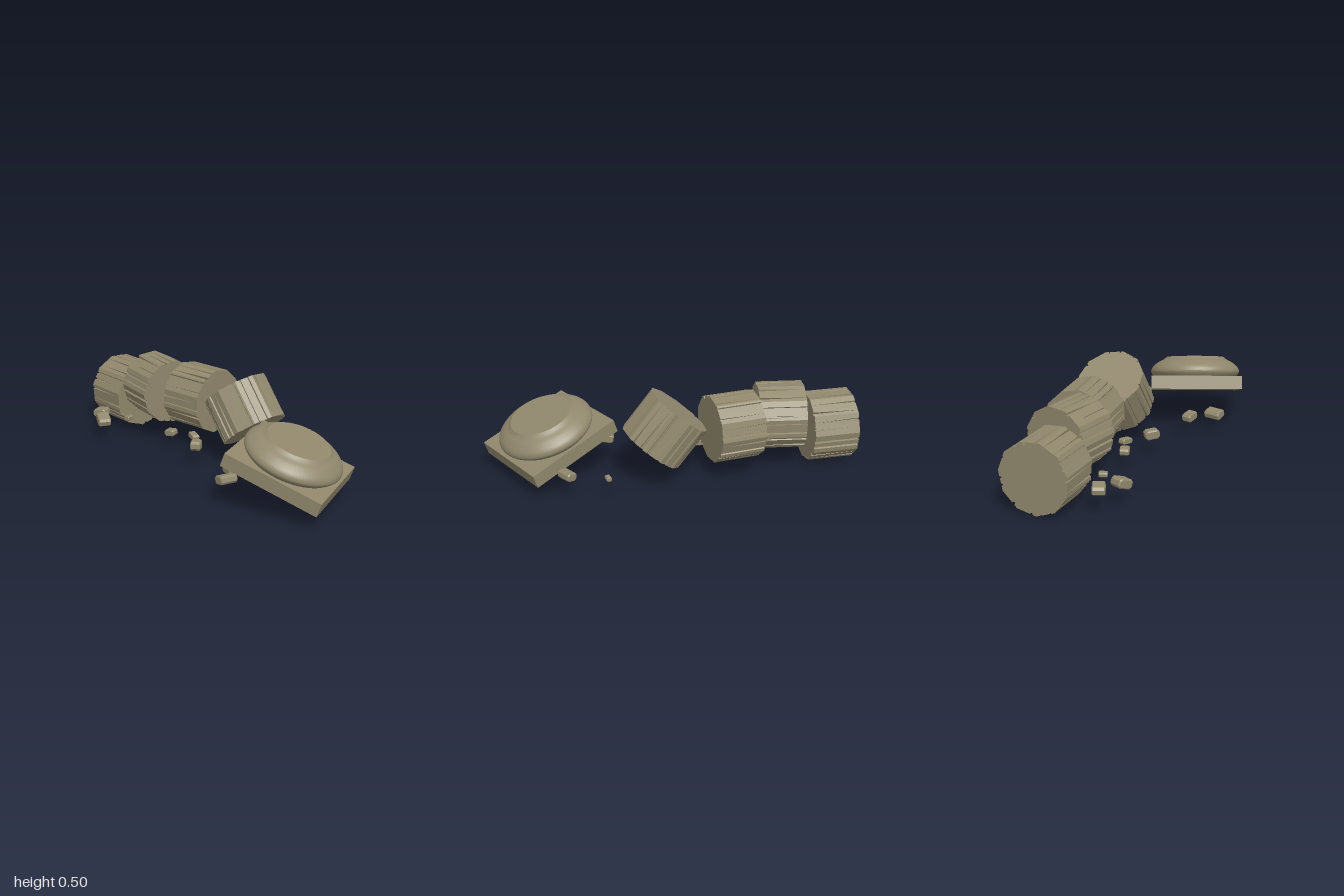
import * as THREE from 'three';

const stone = new THREE.MeshStandardMaterial({ color: 0x90876c });
stone.name = 'weathered stone';
stone.flatShading = true;
const smoothStone = stone; // one colour; the cushion keeps its smoothness through fine facets

const UP = new THREE.Vector3(0, 1, 0);

function seeded(seed) {
  let s = seed;
  return () => (s = (s * 16807) % 2147483647) / 2147483647;
}

// Faceted column drum along y, with narrow grooves that taper along its length
function drumGeometry(radius, length, seed) {
  const sides = 11, step = (Math.PI * 2) / sides, rand = seeded(seed);
  for (let i = 0; i < 5; i++) rand();
  const edge = (a) => {
    const m = ((a % step) + step) % step;
    return (radius * Math.cos(step / 2)) / Math.cos(m - step / 2);
  };
  const rings = [[], []];
  const put = (k, a, depth) => {
    const r = edge(a) - depth;
    rings[k].push(new THREE.Vector3(Math.cos(a) * r, (k - 0.5) * length, -Math.sin(a) * r));
  };
  for (let s = 0; s < sides; s++) {
    rings.forEach((_, k) => put(k, s * step, 0));
    for (let g = 0; g < 2; g++) {
      const a = (s + 0.25 + g * 0.5 + (rand() - 0.5) * 0.22) * step;
      const w = (0.035 + rand() * 0.06) * step, d = 0.007 + rand() * 0.009;
      const pick = rand();
      const taper = pick < 0.33 ? [0.05, 1] : pick < 0.66 ? [1, 0.05] : [0.8, 0.8];
      rings.forEach((_, k) => {
        const t = taper[k];
        put(k, a - w * t, 0);
        put(k, a - w * t * 0.6, d * t);
        put(k, a + w * t * 0.6, d * t);
        put(k, a + w * t, 0);
      });
    }
  }
  const pos = [], n = rings[0].length;
  const tri = (...p) => p.forEach((v) => pos.push(v.x, v.y, v.z));
  const low = new THREE.Vector3(0, -length / 2, 0), high = new THREE.Vector3(0, length / 2, 0);
  for (let i = 0; i < n; i++) {
    const j = (i + 1) % n, [b, t] = rings;
    tri(b[i], b[j], t[j]);
    tri(b[i], t[j], t[i]);
    tri(high, t[i], t[j]);
    tri(low, b[j], b[i]);
  }
  const geo = new THREE.BufferGeometry();
  geo.setAttribute('position', new THREE.Float32BufferAttribute(pos, 3));
  geo.computeVertexNormals();
  return geo;
}

// Stone chip: a block with cut corners
function chipGeometry(w, h, d) {
  const c = Math.min(w, h) * 0.25, x = w / 2, y = h / 2, b = Math.min(w, h, d) * 0.12;
  const outline = [[-x + c, -y], [x - c, -y], [x, -y + c], [x, y - c], [x - c, y], [-x + c, y], [-x, y - c], [-x, -y + c]];
  const shape = new THREE.Shape(outline.map(([px, py]) => new THREE.Vector2(px, py)));
  const geo = new THREE.ExtrudeGeometry(shape, {
    depth: d - 2 * b, bevelEnabled: true, bevelSize: b, bevelOffset: -b, bevelThickness: b, bevelSegments: 1,
  });
  return geo.center();
}

export function createModel() {
  const model = new THREE.Group();
  const add = (parent, name, geo, mat = stone) => {
    const mesh = new THREE.Mesh(geo, mat);
    mesh.name = name;
    parent.add(mesh);
    return mesh;
  };

  // Fallen drums: centre, axis, radius
  const drums = [
    [[-0.865, 0.19, -0.042], [1, 0, -0.065], 0.19],
    [[-0.59, 0.275, -0.07], [1, 0, 0.09], 0.181],
    [[-0.312, 0.27, -0.155], [1, 0, -0.19], 0.181],
    [[0.052, 0.29, -0.177], [-0.62, 0.78, 0.05], 0.184],
  ];
  drums.forEach(([p, axis, r], i) => {
    const drum = add(model, 'columnDrum' + (i + 1), drumGeometry(r, 0.248, 911 + i * 377));
    drum.position.set(...p);
    drum.quaternion.setFromUnitVectors(UP, new THREE.Vector3(...axis).normalize());
  });

  // Tilted capital: square slab carrying a round cushion
  const capital = new THREE.Group();
  capital.name = 'capital';
  const across = new THREE.Vector3(0.47, 0, 0.883).normalize();
  const down = new THREE.Vector3(0.829, -0.335, -0.441).normalize();
  const normal = new THREE.Vector3().crossVectors(across, down).normalize();
  capital.quaternion.setFromRotationMatrix(new THREE.Matrix4().makeBasis(down.clone(), normal, new THREE.Vector3().crossVectors(down, normal)));
  capital.position.set(0.65, 0.23, 0.013);
  model.add(capital);
  add(capital, 'slab', new THREE.BoxGeometry(0.53, 0.074, 0.51)).position.y = -0.037;

  const profile = new THREE.SplineCurve([
    [0.232, -0.002], [0.252, 0.018], [0.257, 0.036], [0.246, 0.06], [0.215, 0.086], [0.185, 0.102], [0.166, 0.117],
  ].map(([r, y]) => new THREE.Vector2(r, y))).getPoints(24);
  add(capital, 'cushion', new THREE.LatheGeometry(profile, 96), smoothStone);
  const top = add(capital, 'cushionTop', new THREE.CircleGeometry(0.166, 96));
  top.rotation.x = -Math.PI / 2;
  top.position.y = 0.117;

  // Scattered chips: x, y, z, width, height, depth, turn, tilt
  const chips = [
    [-0.795, 0.12, 0.21, 0.08, 0.045, 0.065, 0.5, 0.15],
    [-0.68, 0.12, 0.27, 0.09, 0.05, 0.07, -0.35, -0.35],
    [-0.625, 0.115, 0.135, 0.035, 0.025, 0.045, 0.4, 0.1],
    [-0.295, 0.11, 0.07, 0.06, 0.035, 0.05, 0.4, 0.1],
    [-0.17, 0.11, 0.005, 0.07, 0.03, 0.04, -0.25, -0.1],
    [-0.035, 0.118, 0.09, 0.08, 0.05, 0.055, -0.8, 0.1],
    [0.325, 0.112, 0.14, 0.08, 0.045, 0.055, -0.15, 0.15],
    [0.425, 0.115, 0.245, 0.07, 0.045, 0.095, -0.15, 0.25],
    [0.37, 0.107, -0.34, 0.028, 0.024, 0.04, 0.2, 0],
    [0.575, 0.115, -0.285, 0.06, 0.045, 0.085, 0.6, 0.15],
  ];
  chips.forEach(([x, y, z, w, h, d, turn, tilt], i) => {
    const chip = add(model, 'stoneChip' + (i + 1), chipGeometry(w, h, d));
    chip.position.set(x, y, z);
    chip.rotation.set(0, turn, tilt);
  });
  return model;
}
